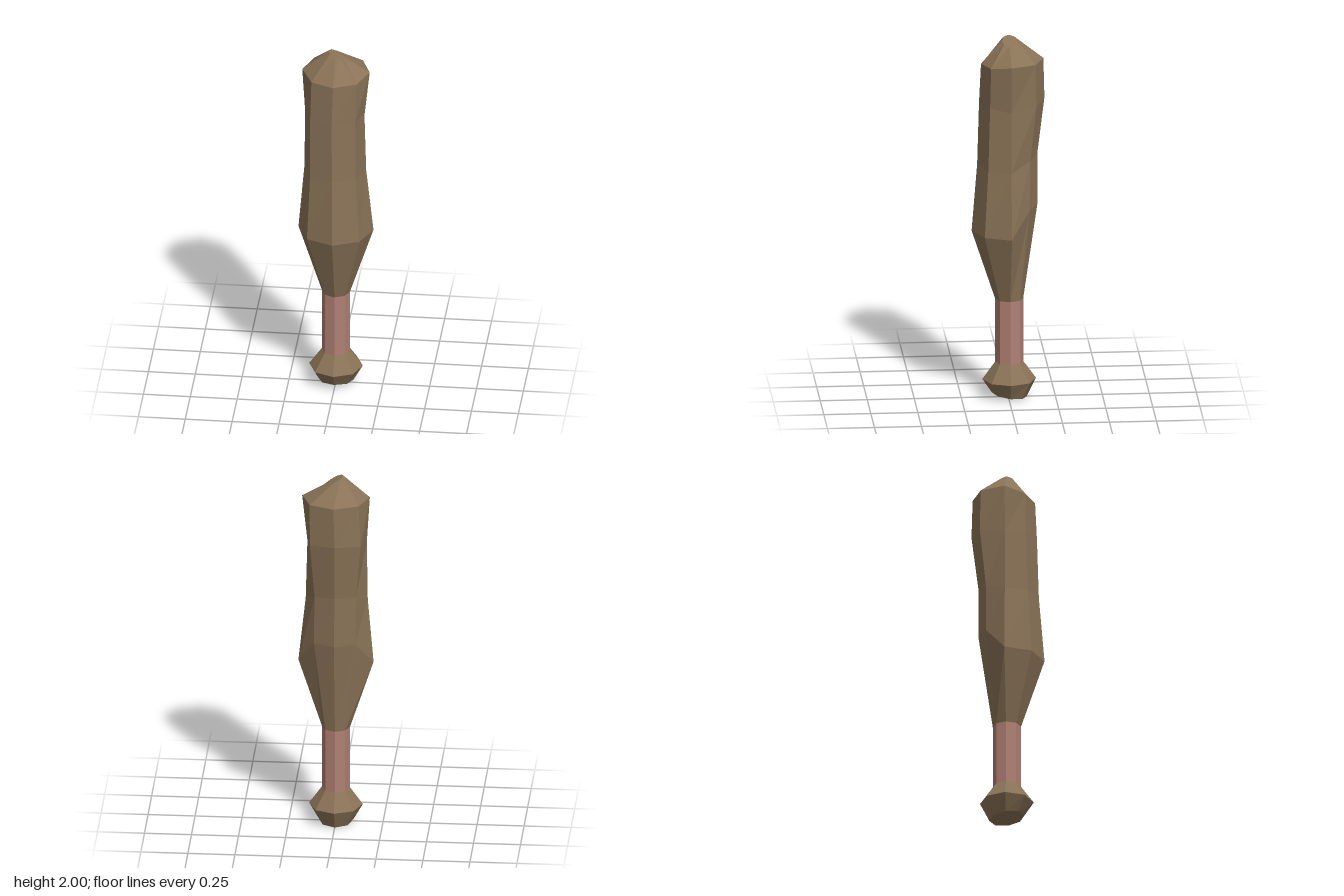
import * as THREE from 'three';

const SIDES = 8;
const CENTER_Z = -0.005;

// Regular octagonal ring; tiltX and tiltZ slope its plane.
function evenRing(y, r, tiltX = 0, tiltZ = 0) {
  return Array.from({ length: SIDES }, (_, i) => {
    const a = (i / SIDES) * Math.PI * 2;
    const x = Math.sin(a) * r, z = Math.cos(a) * r;
    return [x, y + tiltX * x + tiltZ * z, z + CENTER_Z];
  });
}

// Hand-carved ring: five points from front to back on the left, mirrored to the right.
function carvedRing(half, shiftX = 0) {
  const mirrored = half.slice(1, 4).reverse().map(([x, y, z]) => [-x, y, z]);
  return [...half, ...mirrored].map(([x, y, z]) => [x + shiftX, y, z]);
}

// Faceted skin through a stack of rings, with optional end caps.
function loft(name, rings, material, capBottom, capTop) {
  const index = [];
  for (let r = 0; r < rings.length - 1; r++) {
    for (let i = 0; i < SIDES; i++) {
      const j = (i + 1) % SIDES, lo = r * SIDES, hi = lo + SIDES;
      index.push(lo + i, lo + j, hi + j, lo + i, hi + j, hi + i);
    }
  }
  const top = (rings.length - 1) * SIDES;
  for (let i = 1; i < SIDES - 1; i++) {
    if (capBottom) index.push(0, i + 1, i);
    if (capTop) index.push(top, top + i, top + i + 1);
  }
  const geometry = new THREE.BufferGeometry();
  geometry.setAttribute('position', new THREE.Float32BufferAttribute(rings.flat(2), 3));
  geometry.setIndex(index);
  geometry.computeVertexNormals();
  const mesh = new THREE.Mesh(geometry, material);
  mesh.name = name;
  return mesh;
}

export function createModel() {
  const wood = new THREE.MeshStandardMaterial({ color: 0x8a7357, flatShading: true });
  const wrap = new THREE.MeshStandardMaterial({ color: 0xb08074, flatShading: true });
  const group = new THREE.Group();
  group.name = 'club';

  // Pommel with a slanted underside
  group.add(loft('pommel', [
    evenRing(0.017, 0.093, 0, 0.14),
    evenRing(0.105, 0.143),
    evenRing(0.2, 0.075),
  ], wood, true, false));

  // Straight wrapped grip
  group.add(loft('grip', [evenRing(0.2, 0.075), evenRing(0.55, 0.075)], wrap, false, false));

  // Uneven carved head, ending in a slanted tip
  group.add(loft('head', [
    evenRing(0.55, 0.075),
    carvedRing([[0, 0.93, 0.195], [0.14, 0.93, 0.135], [0.2, 0.93, -0.005], [0.11, 1.07, -0.108], [0, 1.07, -0.155]]),
    carvedRing([[0, 1.3, 0.165], [0.122, 1.29, 0.115], [0.165, 1.29, -0.005], [0.11, 1.34, -0.11], [0, 1.35, -0.155]], -0.004),
    carvedRing([[0, 1.64, 0.155], [0.12, 1.64, 0.105], [0.158, 1.62, -0.005], [0.135, 1.65, -0.14], [0, 1.66, -0.193]], -0.006),
    carvedRing([[0, 1.855, 0.145], [0.12, 1.86, 0.1], [0.18, 1.88, -0.005], [0.13, 1.88, -0.135], [0, 1.88, -0.187]]),
    evenRing(1.98, 0.04, -0.5, 0),
  ], wood, false, true));

  return group;
}
